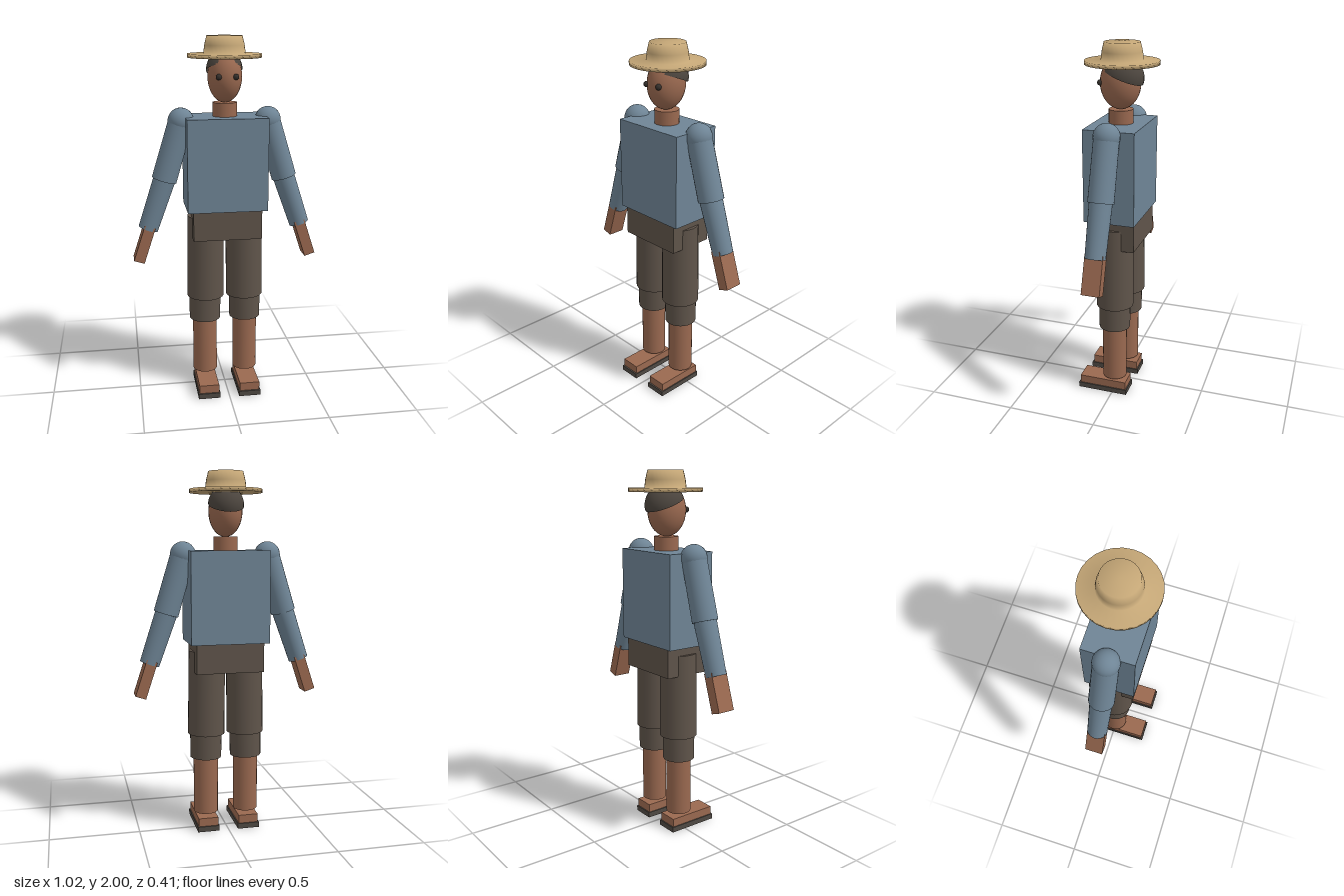
import * as THREE from 'three';

const mat = (name, color, side = THREE.FrontSide) => {
  const m = new THREE.MeshStandardMaterial({ color, side });
  m.name = name;
  return m;
};

export function createModel() {
  const root = new THREE.Group();
  root.name = 'farmer';

  const shirt = mat('blue shirt', 0x6f8596);
  const cloth = mat('brown cloth', 0x5f544a);
  const skin = mat('skin', 0x9a6950);
  const hairMat = mat('dark hair', 0x4d463f, THREE.DoubleSide);
  const straw = mat('straw', 0xc4a676, THREE.DoubleSide);
  const soleMat = mat('sole', 0x4f4943);
  const eyeMat = mat('eye', 0x35302c);

  const add = (name, geometry, material, x = 0, y = 0, z = 0) => {
    const mesh = new THREE.Mesh(geometry, material);
    mesh.name = name;
    mesh.position.set(x, y, z);
    root.add(mesh);
    return mesh;
  };

  // Box spanning the given y and z ranges, centred on x
  const block = (name, material, x, w, y0, y1, z0, z1) =>
    add(name, new THREE.BoxGeometry(w, y1 - y0, z1 - z0), material, x, (y0 + y1) / 2, (z0 + z1) / 2);

  // Turns a y-aligned part so that it runs from point a (top) to point b (bottom) in the xy plane
  const alignLimb = (name, geometry, material, a, b) => {
    const mesh = add(name, geometry, material, (a[0] + b[0]) / 2, (a[1] + b[1]) / 2);
    mesh.rotation.z = Math.atan2(b[0] - a[0], a[1] - b[1]);
    return mesh;
  };
  const span = (a, b) => Math.hypot(a[0] - b[0], a[1] - b[1]);
  const limb = (name, material, a, b, rTop, rBottom) =>
    alignLimb(name, new THREE.CylinderGeometry(rTop, rBottom, span(a, b), 24), material, a, b);

  // Trunk
  block('torso', shirt, 0, 0.436, 1.077, 1.58, -0.14, 0.14);
  block('pelvis', cloth, 0, 0.376, 0.917, 1.12, -0.13, 0.13);
  add('neck', new THREE.CylinderGeometry(0.066, 0.066, 0.12, 24), skin, 0, 1.594, 0);

  // Head, eyes and hair
  add('head', new THREE.SphereGeometry(1, 24, 18), skin, 0, 1.79, 0.003).scale.set(0.092, 0.138, 0.11);
  const hair = add('hair', new THREE.SphereGeometry(1, 24, 10, 0, Math.PI * 2, 0, Math.PI / 2), hairMat, 0, 1.822, -0.012);
  hair.scale.set(0.097, 0.105, 0.112);
  hair.rotation.x = -0.36;

  // Hat: one softly shaded turned shape
  const hatProfile = [
    [0.09, 1.887], [0.198, 1.887], [0.198, 1.907], [0.112, 1.907], [0.107, 1.95], [0.095, 2], [0, 2],
  ].map(([r, y]) => new THREE.Vector2(r, y));
  add('hat', new THREE.LatheGeometry(hatProfile, 28), straw, 0, 0, -0.006);

  for (const [s, side] of [[1, 'left'], [-1, 'right']]) {
    add(`${side} eye`, new THREE.SphereGeometry(0.016, 12, 8), eyeMat, s * 0.045, 1.793, 0.1);

    // Arm
    const shoulder = [s * 0.237, 1.557], elbow = [s * 0.333, 1.238];
    const wrist = [s * 0.427, 0.966], palm = [s * 0.418, 0.986], fingertips = [s * 0.484, 0.786];
    add(`${side} shoulder`, new THREE.SphereGeometry(0.071, 20, 14), shirt, ...shoulder);
    limb(`${side} upper sleeve`, shirt, shoulder, elbow, 0.067, 0.069);
    limb(`${side} lower sleeve`, shirt, elbow, wrist, 0.061, 0.055);
    alignLimb(`${side} hand`, new THREE.BoxGeometry(0.06, span(palm, fingertips), 0.1), skin, palm, fingertips);

    // Leg
    limb(`${side} trouser thigh`, cloth, [s * 0.107, 1.03], [s * 0.112, 0.558], 0.101, 0.104);
    limb(`${side} trouser cuff`, cloth, [s * 0.113, 0.6], [s * 0.116, 0.42], 0.09, 0.088);
    limb(`${side} shin`, skin, [s * 0.116, 0.5], [s * 0.116, 0.098], 0.069, 0.069);

    // Foot on a thin sole
    block(`${side} foot`, skin, s * 0.116, 0.112, 0.03, 0.077, -0.08, 0.196);
    block(`${side} sole`, soleMat, s * 0.116, 0.124, 0, 0.03, -0.087, 0.205);
  }

  return root;
}
